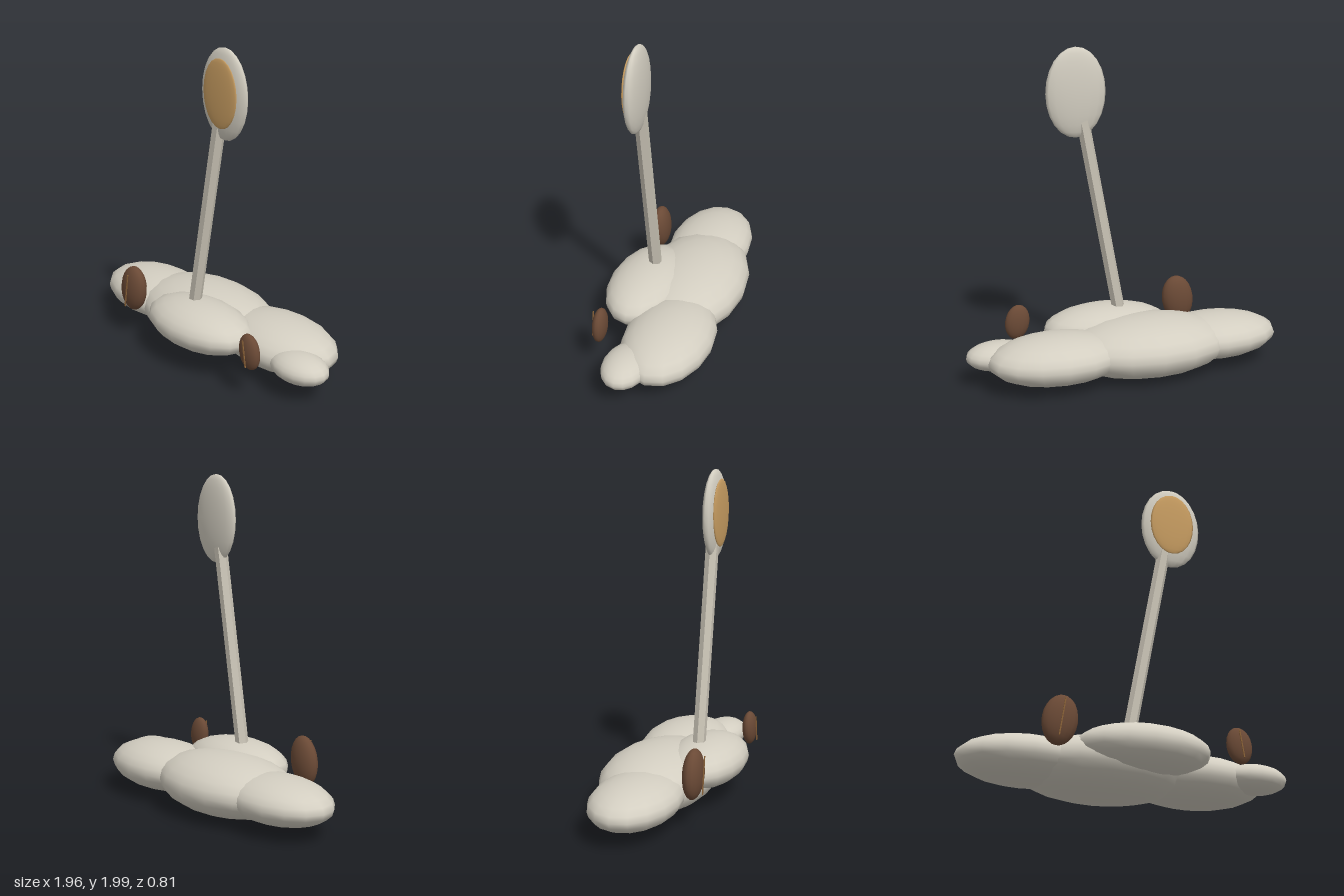
import * as THREE from 'three';

export function createModel() {
  const model = new THREE.Group();
  const material = (name, color, flatShading = false) => {
    const m = new THREE.MeshStandardMaterial({ color, flatShading });
    m.name = name;
    return m;
  };
  const stone = material('warm grey', 0xd3cec1);
  const pole = material('pole grey', 0xcbc5b7, true);
  const tan = material('tan', 0xc99e62);
  const brown = material('brown', 0x6b4a36);
  const seam = material('seam brown', 0x8a6238);

  // Ellipsoid with its three radii baked into the geometry
  function ellipsoid(name, mat, center, radii, parent = model) {
    const geometry = new THREE.SphereGeometry(1, 16, 12).scale(...radii);
    const mesh = new THREE.Mesh(geometry, mat);
    mesh.name = name;
    mesh.position.set(...center);
    parent.add(mesh);
    return mesh;
  }

  // Base of overlapping mounds
  ellipsoid('rightMound', stone, [-0.575, 0.19, -0.04], [0.405, 0.136, 0.26]);
  ellipsoid('middleMound', stone, [-0.13, 0.188, -0.07], [0.53, 0.18, 0.338]);
  ellipsoid('leftMound', stone, [0.45, 0.19, -0.12], [0.425, 0.147, 0.272]);
  ellipsoid('leftTipMound', stone, [0.775, 0.19, 0.03], [0.2, 0.086, 0.14]);
  ellipsoid('frontMound', stone, [0.06, 0.252, 0.16], [0.4, 0.139, 0.24]);

  // Leaning six-sided pole, with corners to the left and right
  const bottom = new THREE.Vector3(-0.035, 0.25, 0.138);
  const top = new THREE.Vector3(0.213, 1.6, 0.138);
  const shaft = new THREE.Mesh(
    new THREE.CylinderGeometry(0.04, 0.04, bottom.distanceTo(top), 6).rotateY(Math.PI / 6), pole);
  shaft.name = 'pole';
  shaft.position.copy(bottom).lerp(top, 0.5);
  shaft.rotation.z = -Math.atan2(top.x - bottom.x, top.y - bottom.y);
  model.add(shaft);

  // Oval head with a tan front panel
  ellipsoid('head', stone, [0.248, 1.73, 0.138], [0.185, 0.27, 0.048]);
  ellipsoid('headPanel', tan, [0.248, 1.74, 0.176], [0.137, 0.204, 0.017]);

  // Beans with a thin seam down the front
  function bean(name, center, radii, tilt) {
    const group = new THREE.Group();
    group.name = name;
    group.position.set(...center);
    group.rotation.z = tilt;
    ellipsoid('beanBody', brown, [0, 0, 0], radii, group);
    const line = new THREE.Mesh(new THREE.BoxGeometry(0.007, radii[1] * 1.5, 0.006), seam);
    line.name = 'beanSeam';
    line.position.z = radii[2] + 0.002;
    group.add(line);
    model.add(group);
  }
  bean('rightBean', [-0.453, 0.34, 0.262], [0.103, 0.15, 0.06], -0.15);
  bean('leftBean', [0.6, 0.3, 0.262], [0.077, 0.11, 0.043], 0.15);

  return model;
}
